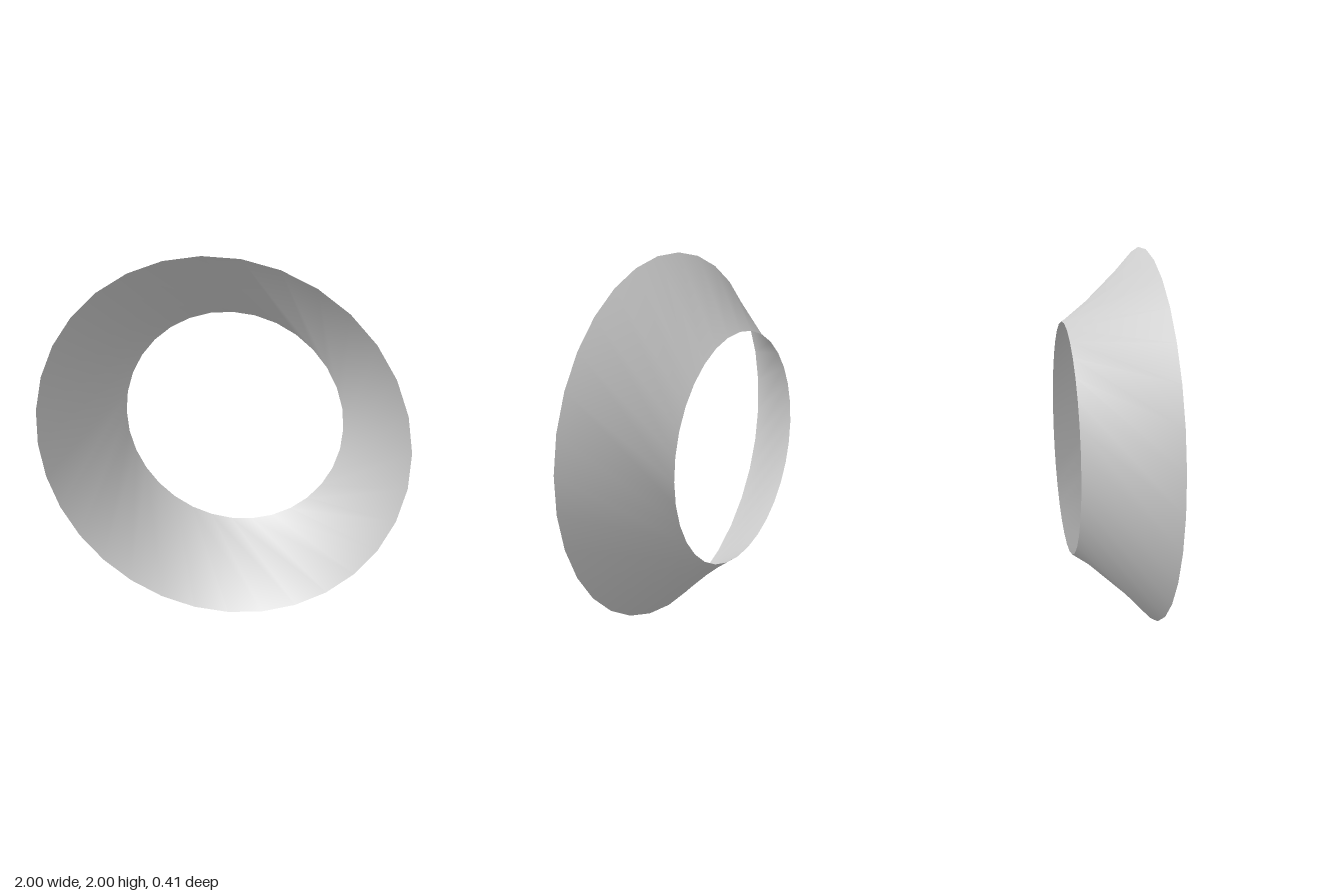
import * as THREE from 'three';

const SIDES = 32;
const INNER_RADIUS = 0.624;
const OUTER_RADIUS = 1.002;
const DEPTH = 0.413;
const TWIST = THREE.MathUtils.degToRad(-26.4);

// Open conical ring: narrow rim at the back, wide rim turned against it
function twistedRing() {
  const geometry = new THREE.CylinderGeometry(INNER_RADIUS, OUTER_RADIUS, DEPTH, SIDES, 1, true);
  const { position, normal } = geometry.attributes;
  const axis = new THREE.Vector3(0, 1, 0);
  const v = new THREE.Vector3();
  for (let i = 0; i < position.count; i++) {
    if (position.getY(i) > 0) continue;
    for (const attribute of [position, normal]) {
      v.fromBufferAttribute(attribute, i).applyAxisAngle(axis, TWIST);
      attribute.setXYZ(i, v.x, v.y, v.z);
    }
  }
  return geometry.rotateX(-Math.PI / 2);
}

export function createModel() {
  const group = new THREE.Group();
  group.name = 'conicalRing';

  const material = new THREE.MeshStandardMaterial({ color: 0xcccccc, side: THREE.DoubleSide });
  const ring = new THREE.Mesh(twistedRing(), material);
  ring.name = 'flaredRing';
  ring.position.y = 1;
  group.add(ring);

  return group;
}
